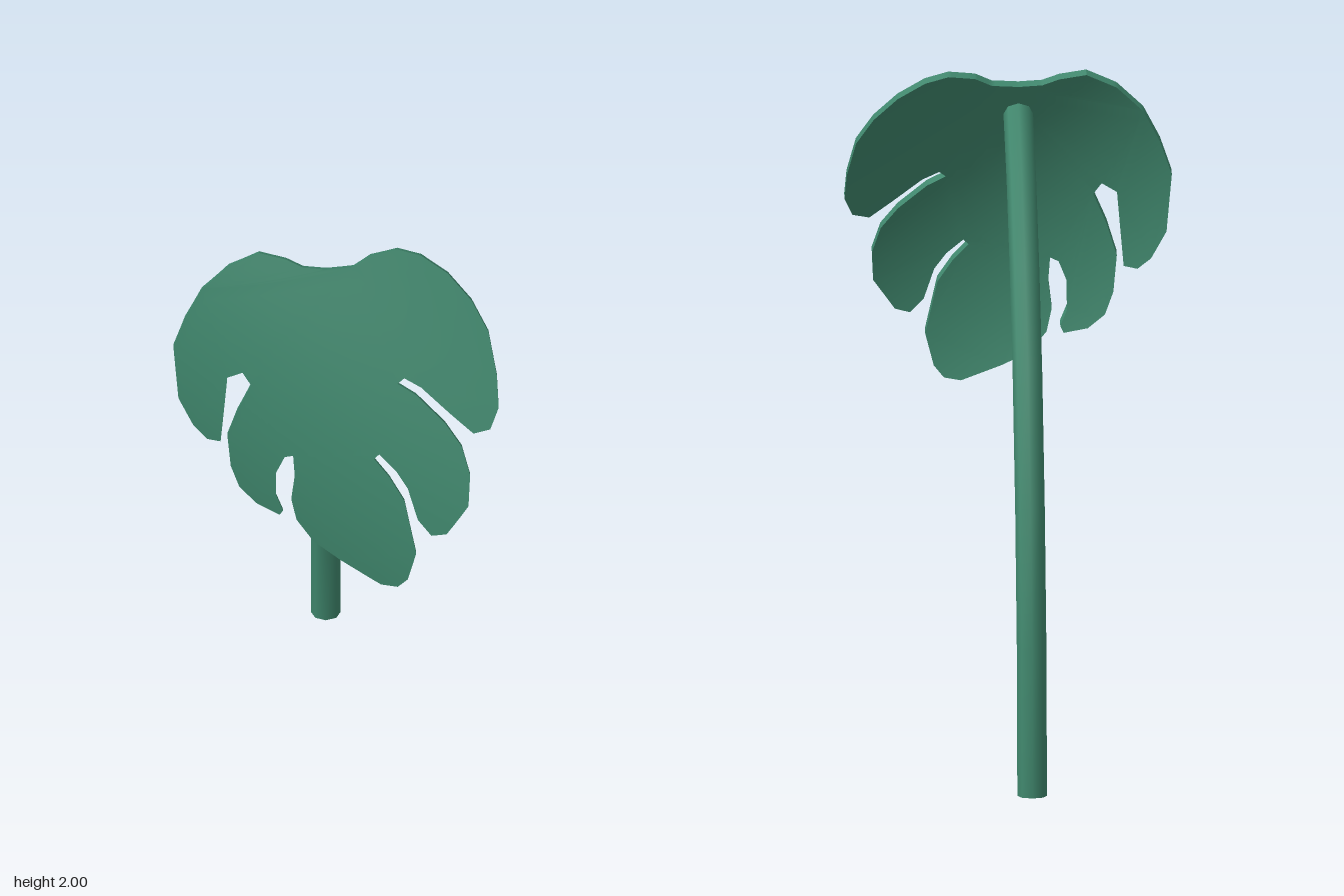
import * as THREE from 'three';
import { toCreasedNormals } from 'three/addons/utils/BufferGeometryUtils.js';

// Lobed outline of the leaf, clockwise from the notch at the top (x, y)
const OUTLINE = [
  -0.03, 1.96, 0.05, 1.965, 0.1, 1.99, 0.18, 2.0, 0.25, 1.98, 0.33, 1.93, 0.4, 1.86, 0.45, 1.78,
  0.475, 1.67, 0.48, 1.59, 0.455, 1.535, 0.405, 1.525, 0.335, 1.58, 0.25, 1.65, 0.2, 1.675, 0.18, 1.66,
  0.235, 1.63, 0.32, 1.555, 0.37, 1.49, 0.395, 1.41, 0.39, 1.32, 0.325, 1.23, 0.28, 1.22, 0.24, 1.265,
  0.21, 1.36, 0.175, 1.41, 0.125, 1.455, 0.11, 1.44, 0.155, 1.39, 0.2, 1.32, 0.235, 1.155, 0.21, 1.06,
  0.18, 1.025, 0.13, 1.02, 0.01, 1.075, -0.07, 1.12, -0.12, 1.185, -0.135, 1.255, -0.125, 1.34, -0.13, 1.41,
  -0.155, 1.4, -0.18, 1.34, -0.18, 1.255, -0.16, 1.205, -0.17, 1.185, -0.24, 1.205, -0.29, 1.25, -0.315, 1.32,
  -0.325, 1.43, -0.295, 1.525, -0.255, 1.615, -0.28, 1.65, -0.325, 1.625, -0.345, 1.4, -0.385, 1.395, -0.425, 1.43,
  -0.47, 1.515, -0.485, 1.69, -0.45, 1.79, -0.4, 1.885, -0.32, 1.96, -0.23, 2.0, -0.15, 1.985, -0.1, 1.965,
];
const THICKNESS = 0.03;

// Depth of the leaf's front surface: leaning, domed and twisted
function leafDepth(x, y) {
  const v = y - 1.5;
  return 0.58 + 0.224 * x - 0.25 * v - 0.4 * v * v - 0.3 * x * x - 0.56 * x * v;
}

// Split each triangle into four so the flat blade can bend smoothly
function subdivide(triangles) {
  return triangles.flatMap(([a, b, c]) => {
    const mid = (p, q) => p.clone().add(q).multiplyScalar(0.5);
    const ab = mid(a, b), bc = mid(b, c), ca = mid(c, a);
    return [[a, ab, ca], [ab, b, bc], [ca, bc, c], [ab, bc, ca]];
  });
}

function leafGeometry() {
  const points = [];
  for (let i = 0; i < OUTLINE.length; i += 2) points.push(new THREE.Vector2(OUTLINE[i], OUTLINE[i + 1]));
  const slab = new THREE.ExtrudeGeometry(new THREE.Shape(points), { depth: 1, bevelEnabled: false }).toNonIndexed();
  const pos = slab.attributes.position;
  let triangles = [];
  for (let i = 0; i < pos.count; i += 3) {
    triangles.push([0, 1, 2].map((k) => new THREE.Vector3().fromBufferAttribute(pos, i + k)));
  }
  for (let level = 0; level < 3; level++) triangles = subdivide(triangles);

  // Bend the slab: z = 1 is the front face, z = 0 the back face
  const bent = triangles.flat().map((p) => {
    const t = (1 - p.z) * THICKNESS;
    return new THREE.Vector3(p.x, p.y - 0.4 * t, leafDepth(p.x, p.y) - 0.9 * t);
  });
  return toCreasedNormals(new THREE.BufferGeometry().setFromPoints(bent), 0.6);
}

function createStem(material) {
  const group = new THREE.Group();
  group.name = 'stem';
  const radius = 0.044, sides = 8;
  const path = [[0, -0.652], [0.43, -0.615], [0.825, -0.495], [1.21, -0.3], [1.47, -0.09], [1.7, 0.15], [1.86, 0.39]]
    .map(([y, z]) => new THREE.Vector3(-0.03, y, z));
  const curve = new THREE.CatmullRomCurve3(path);
  // Put one ring exactly at each bend
  curve.getPointAt = curve.getPoint;
  curve.getTangentAt = curve.getTangent;
  const tube = new THREE.TubeGeometry(curve, path.length - 1, radius, sides);
  const pos = tube.attributes.position;
  for (let i = 0; i <= sides; i++) pos.setY(i, 0); // level foot
  const stalk = new THREE.Mesh(tube, material);
  stalk.name = 'stalk';
  group.add(stalk);

  // End caps
  const disc = new THREE.CircleGeometry(radius, sides);
  const foot = new THREE.Mesh(disc, material);
  foot.name = 'stemFoot';
  foot.position.copy(path[0]);
  foot.rotation.x = Math.PI / 2;
  const tip = new THREE.Mesh(disc, material);
  tip.name = 'stemTip';
  tip.position.copy(path[path.length - 1]);
  tip.quaternion.setFromUnitVectors(new THREE.Vector3(0, 0, 1), curve.getTangent(1));
  group.add(foot, tip);
  return group;
}

export function createModel() {
  const model = new THREE.Group();
  model.name = 'leafOnStem';
  const leafGreen = new THREE.MeshStandardMaterial({ color: 0x3f866c });
  leafGreen.name = 'leafGreen';

  const leaf = new THREE.Mesh(leafGeometry(), leafGreen);
  leaf.name = 'leaf';
  model.add(leaf, createStem(leafGreen));
  return model;
}
